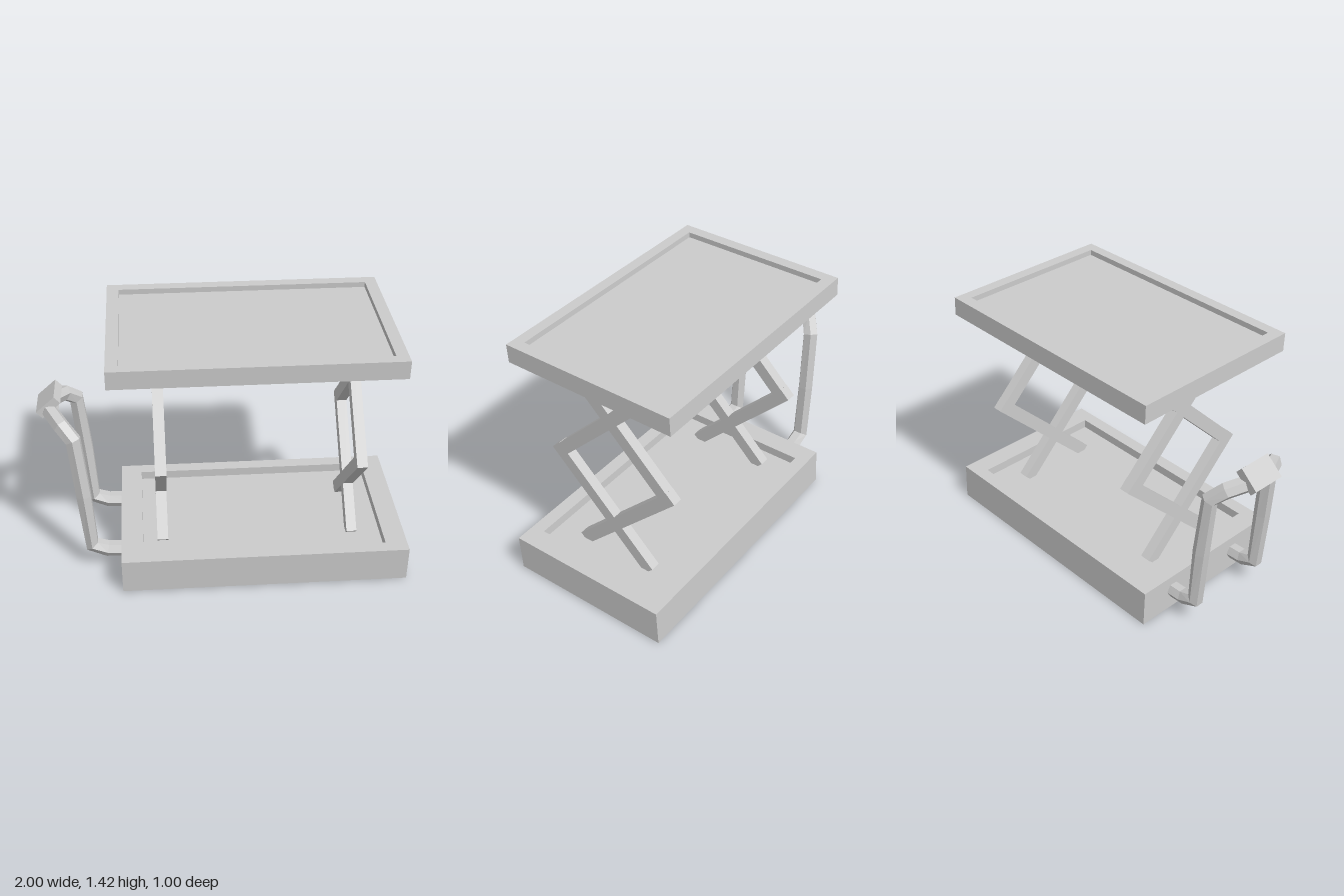
import * as THREE from 'three';

const material = new THREE.MeshStandardMaterial({ color: 0xcccccc, flatShading: true });

function addMesh(parent, name, geometry) {
  const mesh = new THREE.Mesh(geometry, material);
  mesh.name = name;
  parent.add(mesh);
  return mesh;
}

function rectangle(Kind, x0, x1, z0, z1) {
  return new Kind([[x0, -z1], [x1, -z1], [x1, -z0], [x0, -z0]].map(([x, y]) => new THREE.Vector2(x, y)));
}

// Shallow open box, leaning very slightly backwards: a solid floor with a raised rim
function makePan(name, { x0, x1, z0, z1, y0, y1, floor, inner }) {
  const pan = new THREE.Group();
  pan.name = name;
  const lean = 0.05, tilt = 0.008, mid = (y0 + y1) / 2;
  const shear = new THREE.Matrix4().set(
    1, 0, 0, 0,
    0, 1, tilt, 0,
    0, lean, 1, -lean * mid,
    0, 0, 0, 1);
  const layer = (part, bottom, top, hole) => {
    const shape = rectangle(THREE.Shape, x0, x1, z0, z1);
    if (hole) shape.holes.push(rectangle(THREE.Path, ...hole));
    const geometry = new THREE.ExtrudeGeometry(shape, { depth: top - bottom, bevelEnabled: false });
    geometry.rotateX(-Math.PI / 2).translate(0, bottom, 0).applyMatrix4(shear);
    addMesh(pan, part, geometry);
  };
  layer('floor', y0, floor);
  layer('rim', floor, y1, inner);
  return pan;
}

// Square bar lying in the plane of constant x, from (z, y) to (z, y)
function addBar(parent, name, [za, ya], [zb, yb], width) {
  const length = Math.hypot(zb - za, yb - ya);
  const bar = addMesh(parent, name, new THREE.BoxGeometry(width, 0.072, length));
  bar.position.set(0, (ya + yb) / 2, (za + zb) / 2);
  bar.rotation.x = -Math.atan2(yb - ya, zb - za);
}

// Path that keeps its listed corners, for an angular tube
class CornerPath extends THREE.Curve {
  constructor(points) {
    super();
    this.points = points;
  }
  getPointAt(t, target = new THREE.Vector3()) {
    return target.copy(this.points[Math.round(t * (this.points.length - 1))]);
  }
  getTangentAt(t, target = new THREE.Vector3()) {
    const p = this.points, i = Math.round(t * (p.length - 1));
    const before = p[i].clone().sub(p[Math.max(i - 1, 0)]).normalize();
    const after = p[Math.min(i + 1, p.length - 1)].clone().sub(p[i]).normalize();
    return target.copy(before).add(after).normalize();
  }
}

export function createModel() {
  const model = new THREE.Group();
  model.name = 'scissorLiftCart';

  // Base and lifting platform
  model.add(makePan('base', {
    x0: -0.58, x1: 1, z0: -0.47, z1: 0.467, y0: 0.008, y1: 0.216, floor: 0.165,
    inner: [-0.46, 0.88, -0.395, 0.392],
  }));
  model.add(makePan('platform', {
    x0: -0.605, x1: 0.895, z0: -0.495, z1: 0.495, y0: 1.315, y1: 1.417, floor: 1.387,
    inner: [-0.54, 0.83, -0.43, 0.435],
  }));

  // Two scissor linkages, each with a crossed lower and upper pair
  for (const [name, x, width] of [['rightScissor', -0.35, 0.06], ['leftScissor', 0.717, 0.057]]) {
    const scissor = new THREE.Group();
    scissor.name = name;
    scissor.position.x = x;
    for (const side of [-1, 1]) {
      addBar(scissor, 'lowerArm', [-side * 0.22, 0.165], [side * 0.373, 0.756], width);
      addBar(scissor, 'upperArm', [side * 0.345, 0.73], [-side * 0.255, 1.325], width);
    }
    model.add(scissor);
  }

  // Push handle: one hoop with both ends set into the base
  const handle = new THREE.Group();
  handle.name = 'handle';
  const half = [
    [-0.55, 0.12, 0.235], [-0.66, 0.125, 0.235], [-0.745, 0.16, 0.235], [-0.772, 0.5, 0.235],
    [-0.805, 0.85, 0.225], [-0.865, 0.91, 0.175], [-0.925, 0.938, 0.07],
  ];
  const centre = -0.018;
  const points = [...half, ...half.map(([x, y, z]) => [x, y, -z]).reverse()]
    .map(([x, y, z]) => new THREE.Vector3(x, y, z + centre));
  addMesh(handle, 'hoop', new THREE.TubeGeometry(new CornerPath(points), points.length - 1, 0.045, 6));

  // Tilted control box on top of the hoop
  const box = addMesh(handle, 'controlBox', new THREE.BoxGeometry(0.135, 0.05, 0.19));
  box.position.set(-0.935, 0.968, -0.035);
  box.rotation.z = 0.73;
  model.add(handle);

  return model;
}
